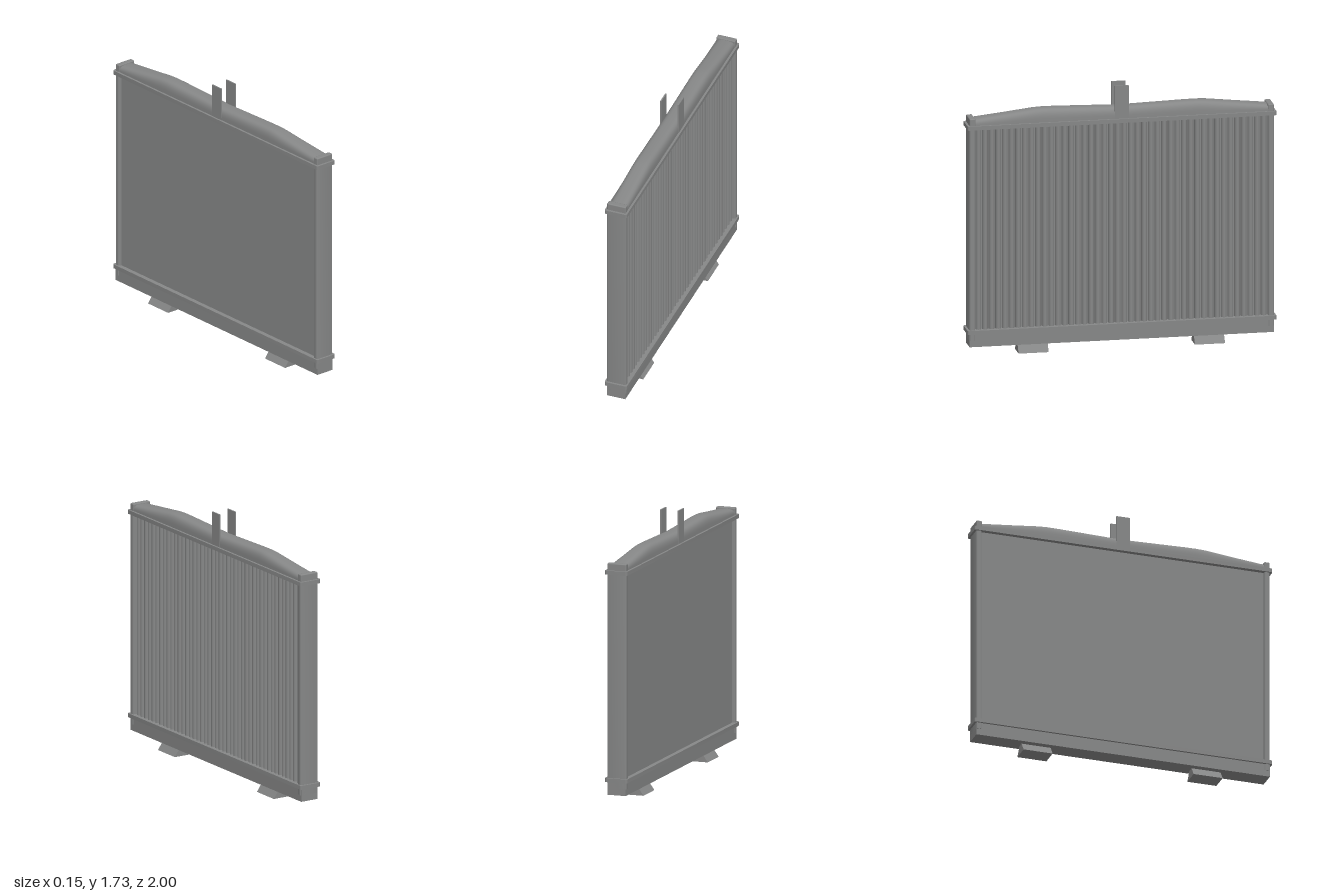
import * as THREE from 'three';
import { toCreasedNormals } from 'three/addons/utils/BufferGeometryUtils.js';
import { RoundedBoxGeometry } from 'three/addons/geometries/RoundedBoxGeometry.js';

export function createModel() {
  const model = new THREE.Group();
  model.name = 'radiator';
  const grey = new THREE.MeshStandardMaterial({ color: 0x868787 });
  grey.name = 'grey metal';

  const add = (name, geometry, x = 0, y = 0, z = 0) => {
    const mesh = new THREE.Mesh(geometry, grey);
    mesh.name = name;
    mesh.position.set(x, y, z);
    model.add(mesh);
  };

  // Upright prism with a rounded rectangular plan, standing on y = 0
  const roundedPrism = (w, h, d, r) => {
    const a = w / 2 - r, b = d / 2 - r;
    const s = new THREE.Shape();
    s.absarc(a, b, r, 0, Math.PI / 2);
    s.absarc(-a, b, r, Math.PI / 2, Math.PI);
    s.absarc(-a, -b, r, Math.PI, Math.PI * 1.5);
    s.absarc(a, -b, r, Math.PI * 1.5, Math.PI * 2);
    const g = new THREE.ExtrudeGeometry(s, { depth: h, bevelEnabled: false, curveSegments: 5 });
    g.rotateX(-Math.PI / 2);
    return toCreasedNormals(g, 0.6);
  };

  // Core: flat rear sheet and a row of vertical tubes on the +x face
  add('coreSheet', new THREE.BoxGeometry(0.073, 1.34, 1.91), -0.0095, 0.83, 0);
  const tubeCount = 44, pitch = 1.89 / tubeCount;
  const tube = new THREE.CylinderGeometry(1, 1, 1.34, 16, 1, true, 0, Math.PI);
  tube.scale(0.025, 1, 0.0185);
  for (let i = 0; i < tubeCount; i++) {
    add('coreTube', tube, 0.027, 0.83, (i + 0.5 - tubeCount / 2) * pitch);
  }

  // Side rails and the caps above them
  for (const s of [-1, 1]) {
    add('sideRail', roundedPrism(0.132, 1.41, 0.037, 0.01), 0, 0.1, s * 0.9675);
    add('tankEndCap', new RoundedBoxGeometry(0.128, 0.07, 0.038, 3, 0.007), 0, 1.525, s * 0.966);
  }

  // Clamping bands round the top and bottom of the core
  for (const y of [0.142, 1.488]) {
    add('clampBand', roundedPrism(0.152, 0.026, 2, 0.012), 0, y, 0);
  }

  // Lower tank
  add('lowerTank', new THREE.BoxGeometry(0.124, 0.1, 1.972), 0, 0.108, 0);

  // Upper tank: rounded arch sections swept along z with a varying height
  const crown = [[-0.955, 1.552], [-0.75, 1.575], [-0.56, 1.597], [-0.5, 1.6], [-0.42, 1.599],
    [0, 1.587], [0.42, 1.599], [0.5, 1.6], [0.56, 1.597], [0.75, 1.575], [0.955, 1.552]];
  const steps = 20, base = 1.51, positions = [], indices = [];
  const soft = (v) => Math.sign(v) * Math.abs(v) ** 0.62;
  crown.forEach(([z, top], i) => {
    for (let j = 0; j <= steps; j++) {
      const a = (j / steps) * Math.PI;
      positions.push(0.062 * soft(Math.cos(a)), base + (top - base) * soft(Math.sin(a)), z);
      if (i && j) {
        const q = i * (steps + 1) + j, p = q - steps - 1;
        indices.push(p - 1, p, q - 1, p, q, q - 1);
      }
    }
  });
  const tank = new THREE.BufferGeometry();
  tank.setAttribute('position', new THREE.Float32BufferAttribute(positions, 3));
  tank.setIndex(indices);
  tank.computeVertexNormals();
  add('upperTank', tank);

  // Pair of upright mounting tabs
  for (const s of [-1, 1]) {
    add('mountingTab', new THREE.BoxGeometry(0.009, 0.22, 0.09), s * 0.059, 1.62, 0);
  }

  // Wedge feet
  const wedge = new THREE.Shape([[-0.062, 0], [0.062, 0], [0.02, 0.06], [-0.02, 0.06]]
    .map(([x, y]) => new THREE.Vector2(x, y)));
  const foot = new THREE.ExtrudeGeometry(wedge, { depth: 0.195, bevelEnabled: false });
  foot.translate(0, 0, -0.0975);
  for (const s of [-1, 1]) add('foot', foot, 0, 0, s * 0.571);

  return model;
}
